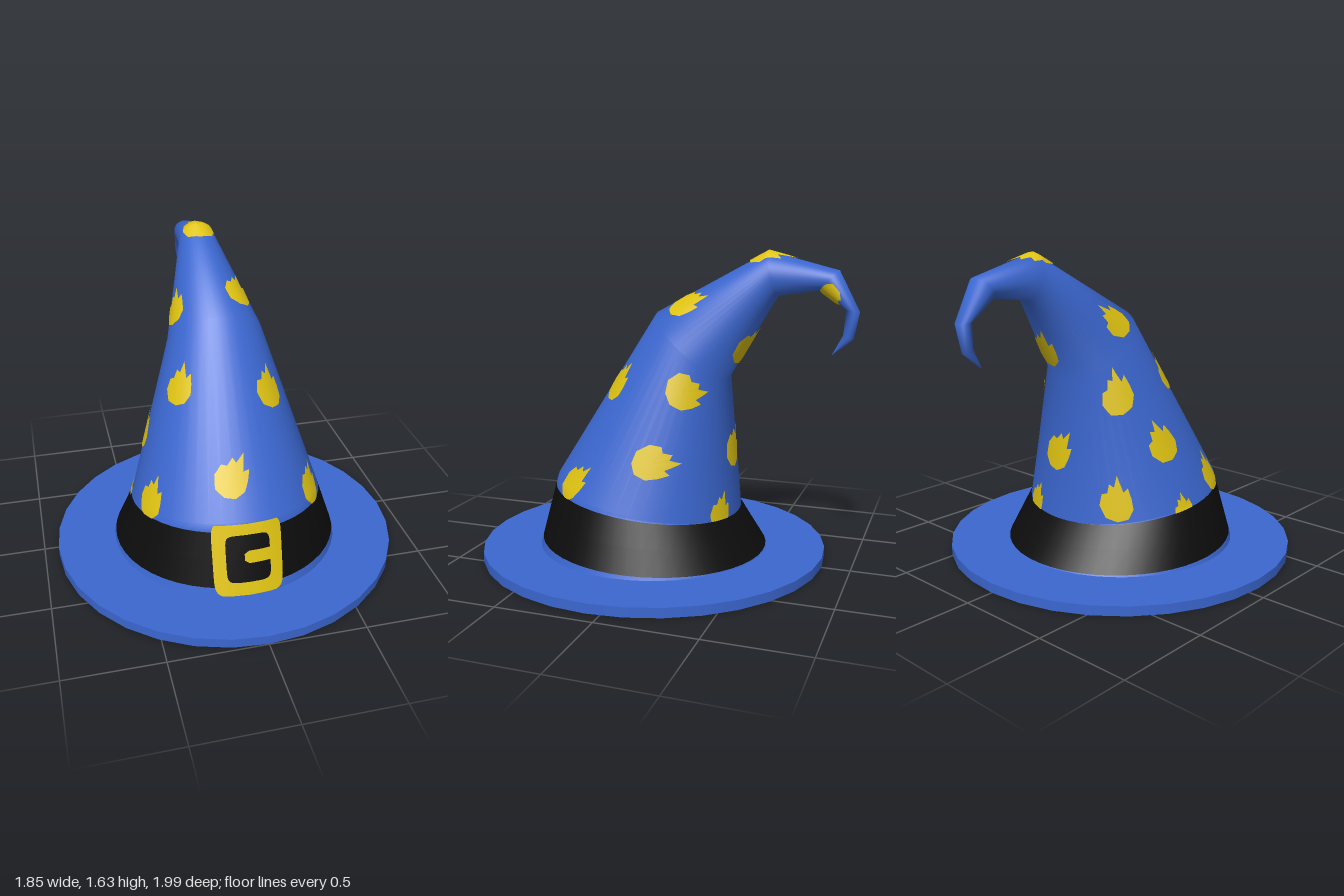
import * as THREE from 'three';

const blue = new THREE.MeshStandardMaterial({ color: 0x3b67d0 });
blue.name = 'blueFelt';
const yellow = new THREE.MeshStandardMaterial({ color: 0xdfc312 });
yellow.name = 'yellow';
const black = new THREE.MeshStandardMaterial({ color: 0x0d0d0d });
black.name = 'blackBand';

// Crown cross-sections: front z, front y, back z, back y, half width
const rings = [
  [0.69, 0.05, -0.54, 0.05, 0.612],
  [0.59, 0.43, -0.40, 0.26, 0.505],
  [0.04, 1.305, -0.34, 0.97, 0.25],
  [-0.54, 1.62, -0.59, 1.40, 0.10],
  [-0.89, 1.53, -0.80, 1.43, 0.07],
  [-0.995, 1.33, -0.93, 1.34, 0.045],
  [-0.97, 1.195, -0.918, 1.215, 0.027],
  [-0.867, 1.113, -0.866, 1.115, 0.002],
];
const mid = (r) => [(r[0] + r[2]) / 2, (r[1] + r[3]) / 2];

// Distance of each ring along the centre line
const S = [0];
for (let i = 1; i < rings.length; i++) {
  const a = mid(rings[i - 1]), b = mid(rings[i]);
  S.push(S[i - 1] + Math.hypot(b[0] - a[0], b[1] - a[1]));
}
const END = S[S.length - 1];

// Point on the crown; angle 0 is the front, scale shrinks towards the centre line
function crown(s, ang, scale = 1) {
  s = THREE.MathUtils.clamp(s, 0, END);
  let i = 0;
  while (i < S.length - 2 && s > S[i + 1]) i++;
  const t = (s - S[i]) / (S[i + 1] - S[i]);
  const r = rings[i].map((v, k) => v + (rings[i + 1][k] - v) * t);
  const [cz, cy] = mid(r);
  const c = Math.cos(ang) * scale;
  return new THREE.Vector3(r[4] * Math.sin(ang) * scale, cy + (r[1] - r[3]) / 2 * c, cz + (r[0] - r[2]) / 2 * c);
}

// Surface tangents, and the crown point lifted along its normal
function tangents(s, ang) {
  const e = 0.004;
  return [
    crown(s, ang + e).sub(crown(s, ang - e)).divideScalar(2 * e),
    crown(s + e, ang).sub(crown(s - e, ang)).divideScalar(2 * e),
  ];
}
function lifted(s, ang, h) {
  const [a, u] = tangents(s, ang);
  return crown(s, ang).addScaledVector(a.cross(u).normalize(), h);
}

// Grid of points made into a smooth surface
function patch(rows, cols, point, closed = true) {
  const pos = [], idx = [], n = closed ? cols : cols + 1;
  for (let i = 0; i <= rows; i++)
    for (let j = 0; j < n; j++) pos.push(...point(i, j / cols).toArray());
  for (let i = 0; i < rows; i++)
    for (let j = 0; j < cols; j++) {
      const k = (j + 1) % n;
      const a = i * n + j, b = i * n + k, c = a + n, d = b + n;
      idx.push(a, b, d, a, d, c);
    }
  const g = new THREE.BufferGeometry();
  g.setAttribute('position', new THREE.Float32BufferAttribute(pos, 3));
  g.setIndex(idx);
  g.computeVertexNormals();
  return g;
}

const TAU = Math.PI * 2;
const bandBottom = (a) => S[1] * (0.07 + 0.05 * Math.cos(a));
const bandTop = (a) => S[1] * (0.94 - 0.06 * Math.cos(a));

// Flame-tailed spot outline, counter-clockwise, tail up
const spotShape = [
  [0, -1], [0.6, -0.85], [0.95, -0.3], [0.92, 0.35], [0.8, 1.0], [0.5, 0.75], [0.2, 1.8],
  [-0.05, 1.1], [-0.35, 1.3], [-0.5, 0.75], [-0.85, 0.7], [-1, 0], [-0.65, -0.75],
];
// Spots: x, y, z, tail turn in degrees, radius
const spots = [
  [-0.07, 0.61, 0.47, 25, 0.088],
  [-0.26, 0.97, 0.13, 5, 0.08],
  [0.21, 0.93, 0.19, 5, 0.085],
  [0.13, 1.35, -0.13, 15, 0.082],
  [0.38, 0.44, 0.39, 25, 0.085],
  [0.42, 0.59, -0.06, 70, 0.09],
  [0.28, 0.94, -0.18, 60, 0.088],
  [0.02, 0.60, -0.37, 30, 0.085],
  [0.19, 0.29, -0.36, 10, 0.075],
  [0.04, 1.13, -0.43, 15, 0.085],
  [0, 1.60, -0.52, 0, 0.088],
  [0.05, 1.42, -0.85, 20, 0.055],
  [-0.44, 0.42, 0.31, 10, 0.085],
  [-0.40, 0.64, -0.05, -10, 0.085],
  [-0.26, 0.90, -0.23, 0, 0.085],
  [-0.2, 1.27, -0.17, 0, 0.08],
  [-0.32, 0.37, -0.3, 5, 0.085],
  [-0.5, 0.30, 0.02, 0, 0.06],
];

function spotGeometry([x, y, z, turn, r]) {
  // Nearest place on the crown
  const target = new THREE.Vector3(x, y, z);
  let best = Infinity, s0 = 0, a0 = 0;
  for (let i = 0; i <= 150; i++)
    for (let j = 0; j < 90; j++) {
      const s = END * i / 150, a = TAU * j / 90;
      const d = crown(s, a).distanceTo(target);
      if (d < best) [best, s0, a0] = [d, s, a];
    }
  const [ta, ts] = tangents(s0, a0);
  const q = -turn * Math.PI / 180, n = spotShape.length * 3, rows = 5;
  return patch(rows, n, (i, f) => {
    const m = Math.round(f * n), k = Math.floor(m / 3), w = (m % 3) / 3;
    const p = spotShape[k], o = spotShape[(k + 1) % spotShape.length];
    const size = r * (1 - i / rows);
    const u = (p[0] + (o[0] - p[0]) * w) * size, v = (p[1] + (o[1] - p[1]) * w) * size;
    const ang = a0 + (u * Math.cos(q) - v * Math.sin(q)) / ta.length();
    const s = s0 + (u * Math.sin(q) + v * Math.cos(q)) / ts.length();
    return lifted(Math.max(s, bandTop(ang)), ang, 0.006);
  });
}

// Buckle coordinates (x, y at the front) laid on the lower crown
function onFront(x, y, h) {
  const t = THREE.MathUtils.clamp((y - 0.05) / 0.38, 0.01, 0.985);
  const w = rings[0][4] + (rings[1][4] - rings[0][4]) * t;
  return lifted(S[1] * t, Math.asin(x / w), h);
}

export function createModel() {
  const hat = new THREE.Group();
  hat.name = 'hat';
  const add = (name, geometry, material) => {
    const m = new THREE.Mesh(geometry, material);
    m.name = name;
    hat.add(m);
    return m;
  };

  // Brim: top, edge and yellow underside
  add('brimTop', new THREE.RingGeometry(0.56, 0.925, 32).rotateX(-Math.PI / 2).translate(0, 0.05, 0.073), blue);
  add('brimEdge', new THREE.CylinderGeometry(0.925, 0.925, 0.05, 32, 1, true).rotateY(Math.PI / 2).translate(0, 0.025, 0.073), blue);
  add('brimUnderside', new THREE.RingGeometry(0.6, 0.925, 32).rotateX(Math.PI / 2).translate(0, 0, 0.073), yellow);

  // Crown: strip below the band, band, and bent cone above
  const N = 48;
  add('crownBase', patch(1, N, (i, f) => crown(i ? bandBottom(f * TAU) : 0, f * TAU)), blue);
  add('band', patch(2, N, (i, f) => {
    const a = f * TAU;
    return crown(THREE.MathUtils.lerp(bandBottom(a), bandTop(a), i / 2), a);
  }), black);
  add('crown', patch(7, N, (i, f) => crown(i ? S[i] : bandTop(f * TAU), f * TAU)), blue);

  // Lining, with a flared lip at the opening
  add('lining', patch(5, N, (i, f) => {
    const a = -f * TAU;
    if (i === 0) return new THREE.Vector3(0.6 * Math.sin(a), 0, 0.073 + 0.6 * Math.cos(a));
    return crown([0, 0.03, S[1], S[2], S[3] - 0.1, S[3] - 0.1][i], a, i === 5 ? 0 : 0.93);
  }), yellow);

  // Buckle frame and prong
  const bend = (v) => Math.sign(v) * Math.abs(v) ** 0.28;
  add('buckleFrame', patch(4, 80, (i, f) => {
    const k = i / 4, c = bend(Math.cos(f * TAU)), s = bend(Math.sin(f * TAU));
    return onFront(-0.01 + c * (0.178 - 0.065 * k), 0.245 + s * (0.195 - 0.072 * k), 0.007);
  }), yellow);
  add('buckleProng', patch(3, 6, (i, f) =>
    onFront(-0.03 + 0.14 * f, 0.253 + (i / 3 - 0.5) * (f === 0 ? 0.035 : 0.065), 0.007), false), yellow);

  // Scattered spots
  for (const spot of spots) add('spot', spotGeometry(spot), yellow);

  return hat;
}
